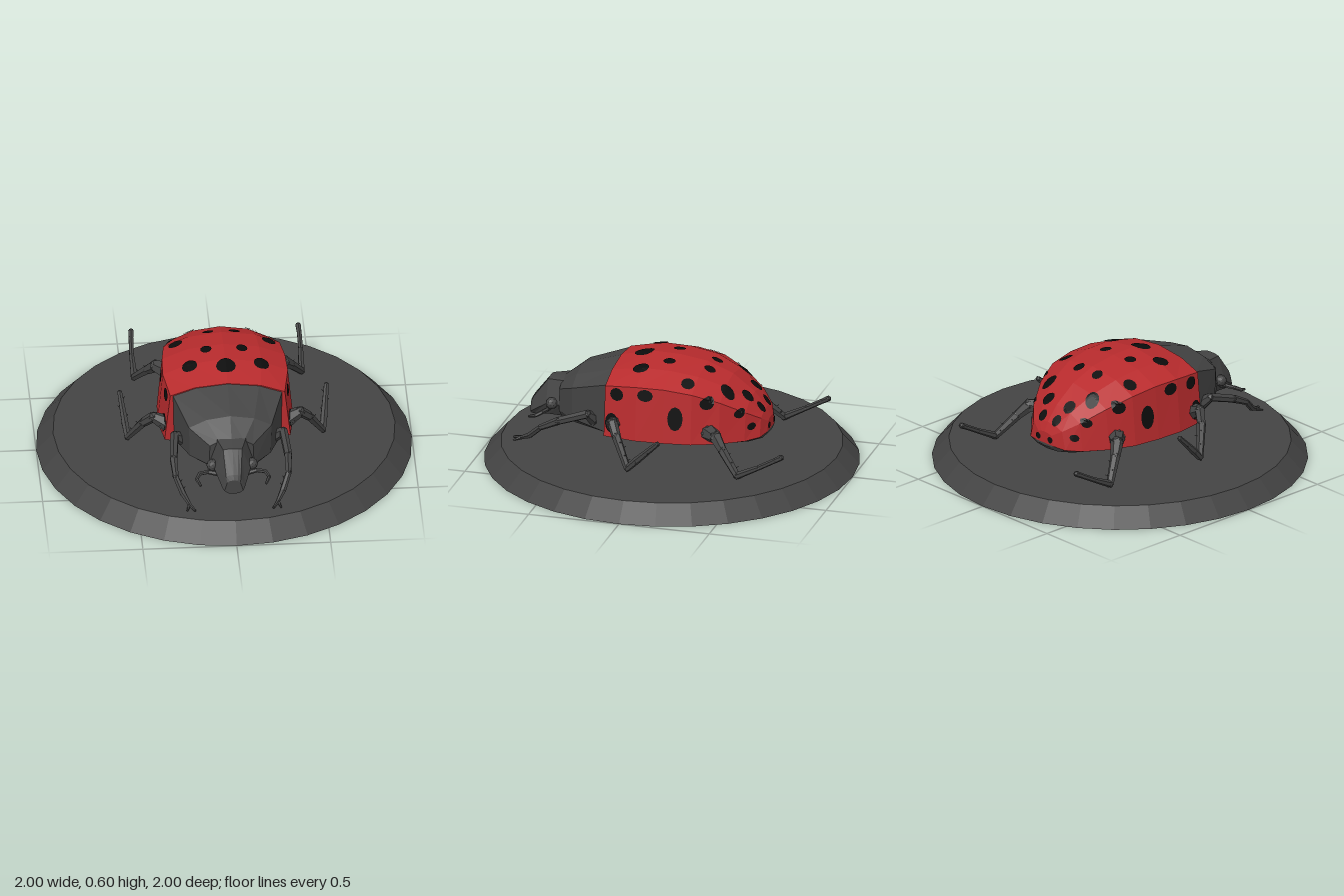
import * as THREE from 'three';

const dark = new THREE.MeshStandardMaterial({ color: 0x444444 });
dark.name = 'charcoal';
const red = new THREE.MeshStandardMaterial({ color: 0xb82b2d });
red.name = 'shell red';
const black = new THREE.MeshStandardMaterial({ color: 0x0c0c0c });
black.name = 'spot black';

const V = (x, y, z) => new THREE.Vector3(x, y, z);

// Faceted mesh from any geometry
function flatMesh(name, geo, mat) {
  const g = geo.index ? geo.toNonIndexed() : geo;
  g.computeVertexNormals();
  const m = new THREE.Mesh(g, mat);
  m.name = name;
  return m;
}

// Mirrored cross-section [z, topY, ridgeX, ridgeY, sideX, sideY, bellyY]
function section([z, top, rx, ry, sx, sy, belly], part) {
  const upper = [[0, top], [rx * 0.58, top - (top - ry) * 0.3], [rx, ry], [sx, sy]];
  const lower = [[sx, sy], [sx * 0.6, belly + (sy - belly) * 0.25], [0, belly]];
  const half = part === 'upper' ? upper : part === 'lower' ? lower : [...upper, ...lower.slice(1)];
  const left = half.map(([x, y]) => V(-x, y, z));
  const right = half.map(([x, y]) => V(x, y, z)).reverse();
  if (part === 'upper') return [...right, ...left.slice(1)];
  if (part === 'lower') return [...left, ...right.slice(1)];
  return [...left, ...right.slice(1, -1)];
}

// Skin over sections listed from front to back
function loft(name, rows, part, mat) {
  const rings = rows.map(r => section(r, part));
  const n = rings[0].length, tris = [];
  for (let i = 0; i < rings.length - 1; i++) {
    for (let k = 0; k < n; k++) {
      const j = (k + 1) % n;
      if (j === 0 && part !== 'all') continue;
      const a = rings[i][k], b = rings[i][j], c = rings[i + 1][j], d = rings[i + 1][k];
      tris.push(a, d, c, a, c, b);
    }
  }
  const first = rings[0], last = rings[rings.length - 1];
  for (let k = 1; k < n - 1; k++) {
    tris.push(first[0], first[k], first[k + 1], last[0], last[k + 1], last[k]);
  }
  return flatMesh(name, new THREE.BufferGeometry().setFromPoints(tris), mat);
}

// Disc draped on the shell, looking along -out from a start point
function spot(shell, start, out, ru, rv) {
  const u = Math.abs(out.y) > 0.5 ? V(0, 0, 1) : V(0, 1, 0);
  const v = out.clone().cross(u);
  const ray = new THREE.Raycaster();
  const drape = (a, r) => {
    for (let s = 1; s >= 0; s -= 0.1) {
      const p = start.clone()
        .addScaledVector(u, Math.cos(a) * r * ru * s)
        .addScaledVector(v, Math.sin(a) * r * rv * s);
      ray.set(p, out.clone().negate());
      const hit = ray.intersectObject(shell)[0];
      if (hit) return hit.point.addScaledVector(hit.face.normal, 0.005);
    }
    return start.clone();
  };
  const N = 12, R = 3, tris = [];
  for (let k = 0; k < N; k++) {
    const a = k / N * Math.PI * 2, b = (k + 1) / N * Math.PI * 2;
    for (let i = 0; i < R; i++) {
      const p = drape(a, i / R), q = drape(a, (i + 1) / R);
      const s = drape(b, (i + 1) / R), t = drape(b, i / R);
      tris.push(p, q, s);
      if (i > 0) tris.push(p, s, t);
    }
  }
  return flatMesh('spot', new THREE.BufferGeometry().setFromPoints(tris), black);
}

// Tapered rod between two points
function rod(name, a, b, ra, rb) {
  const dir = b.clone().sub(a);
  const m = flatMesh(name, new THREE.CylinderGeometry(rb, ra, dir.length(), 6), dark);
  m.position.copy(a).add(b).multiplyScalar(0.5);
  m.quaternion.setFromUnitVectors(V(0, 1, 0), dir.normalize());
  return m;
}

// Jointed limb from rows of [x, y, z, radius]
function limb(name, rows, side) {
  const g = new THREE.Group();
  g.name = name;
  rows.forEach(([x, y, z, r], i) => {
    const p = V(x * side, y, z);
    const joint = flatMesh('joint', new THREE.IcosahedronGeometry(r * 1.05, 0), dark);
    joint.position.copy(p);
    g.add(joint);
    if (i > 0) {
      const [px, py, pz, pr] = rows[i - 1];
      g.add(rod('segment', V(px * side, py, pz), p, pr, r));
    }
  });
  return g;
}

// Short bristles along a shin
function bristles(group, a, b, side) {
  for (let i = 1; i <= 4; i++) {
    const p = a.clone().lerp(b, i / 5);
    const q = p.clone().add(V(i % 2 ? 0.025 : -0.02, 0.012, -0.025));
    p.x *= side;
    q.x *= side;
    group.add(rod('bristle', p, q, 0.006, 0.001));
  }
}

export function createModel() {
  const model = new THREE.Group();

  // Round bevelled plinth
  const base = flatMesh('base', new THREE.CylinderGeometry(0.91, 1, 0.1, 32), dark);
  base.position.y = 0.05;
  model.add(base);

  // Wing case and belly share their sections
  const body = [
    [0.28, 0.56, 0.305, 0.495, 0.335, 0.22, 0.175],
    [0.1, 0.6, 0.333, 0.515, 0.362, 0.22, 0.17],
    [-0.05, 0.597, 0.328, 0.515, 0.355, 0.22, 0.17],
    [-0.2, 0.575, 0.31, 0.495, 0.335, 0.22, 0.17],
    [-0.34, 0.52, 0.255, 0.445, 0.28, 0.22, 0.17],
    [-0.46, 0.43, 0.18, 0.375, 0.2, 0.22, 0.18],
    [-0.525, 0.35, 0.11, 0.325, 0.135, 0.225, 0.195],
    [-0.548, 0.3, 0.05, 0.29, 0.07, 0.235, 0.22],
  ];
  const shell = loft('wingCase', body, 'upper', red);
  shell.updateMatrixWorld();
  model.add(shell, loft('belly', body, 'lower', dark));

  // Thorax shield and head
  model.add(loft('thorax', [
    [0.59, 0.41, 0.115, 0.37, 0.12, 0.25, 0.18],
    [0.49, 0.49, 0.22, 0.425, 0.215, 0.25, 0.175],
    [0.28, 0.557, 0.29, 0.493, 0.285, 0.22, 0.175],
    [0.26, 0.55, 0.28, 0.48, 0.28, 0.22, 0.175],
  ], 'all', dark));
  model.add(loft('head', [
    [0.77, 0.265, 0.035, 0.25, 0.05, 0.2, 0.18],
    [0.755, 0.29, 0.04, 0.28, 0.06, 0.21, 0.175],
    [0.67, 0.4, 0.05, 0.395, 0.095, 0.27, 0.175],
    [0.57, 0.412, 0.08, 0.405, 0.12, 0.28, 0.175],
  ], 'all', dark));

  // Spots: top rows [x, z, rx, rz], flank rows [z, y, rz, ry], tail rows [x, y, r]
  const up = V(0, 1, 0);
  const top = [[0.19, 0.115, 0.04, 0.043], [0.095, -0.015, 0.03, 0.033], [0.07, -0.23, 0.03, 0.03],
    [0.247, -0.16, 0.037, 0.036], [0.165, -0.355, 0.037, 0.037], [0.08, -0.44, 0.034, 0.03]];
  const flank = [[0.21, 0.46, 0.038, 0.035], [0.05, 0.475, 0.043, 0.033], [-0.115, 0.36, 0.041, 0.066],
    [-0.275, 0.445, 0.036, 0.033], [0.235, 0.3, 0.038, 0.055], [-0.43, 0.375, 0.025, 0.024],
    [-0.485, 0.295, 0.018, 0.02]];
  const tail = [[0.052, 0.365, 0.026], [0.045, 0.265, 0.018]];
  model.add(spot(shell, V(0, 2, 0.15), up, 0.052, 0.052));

  for (const side of [1, -1]) {
    for (const [x, z, rx, rz] of top) model.add(spot(shell, V(side * x, 2, z), up, rz, rx));
    for (const [z, y, rz, ry] of flank) model.add(spot(shell, V(side * 2, y, z), V(side, 0, 0), ry, rz));
    for (const [x, y, r] of tail) model.add(spot(shell, V(side * x, y, -2), V(0, 0, -1), r, r));

    // Front leg with forked foot
    const front = limb('frontLeg', [[0.24, 0.27, 0.36, 0.035], [0.29, 0.315, 0.385, 0.024],
      [0.305, 0.265, 0.54, 0.022], [0.3, 0.215, 0.64, 0.016], [0.265, 0.15, 0.71, 0.017],
      [0.235, 0.12, 0.765, 0.011], [0.21, 0.11, 0.81, 0.007]], side);
    front.add(rod('claw', V(side * 0.235, 0.12, 0.765), V(side * 0.25, 0.105, 0.805), 0.01, 0.004));
    bristles(front, V(0.3, 0.215, 0.64), V(0.265, 0.15, 0.71), side);

    // Middle leg with raised foot
    const middle = limb('middleLeg', [[0.32, 0.29, 0.23, 0.045], [0.39, 0.325, 0.215, 0.028],
      [0.44, 0.27, 0.18, 0.025], [0.52, 0.125, 0.095, 0.018], [0.53, 0.18, 0.04, 0.02],
      [0.55, 0.295, -0.08, 0.014]], side);
    bristles(middle, V(0.44, 0.27, 0.18), V(0.52, 0.125, 0.095), side);
    bristles(middle, V(0.52, 0.125, 0.095), V(0.55, 0.295, -0.08), side);

    // Hind leg trailing behind
    const hind = limb('hindLeg', [[0.27, 0.28, -0.28, 0.05], [0.34, 0.285, -0.34, 0.035],
      [0.38, 0.23, -0.39, 0.026], [0.445, 0.12, -0.49, 0.02], [0.45, 0.18, -0.61, 0.014],
      [0.448, 0.23, -0.7, 0.014], [0.445, 0.25, -0.735, 0.016]], side);
    bristles(hind, V(0.36, 0.26, -0.36), V(0.445, 0.12, -0.49), side);

    // Curled feeler and eye
    const feeler = limb('feeler', [[0.08, 0.24, 0.66, 0.014], [0.13, 0.25, 0.655, 0.012],
      [0.175, 0.25, 0.67, 0.011], [0.193, 0.235, 0.7, 0.01], [0.175, 0.22, 0.74, 0.007]], side);
    const eye = flatMesh('eye', new THREE.IcosahedronGeometry(0.032, 1), dark);
    eye.position.set(side * 0.105, 0.28, 0.635);
    model.add(front, middle, hind, feeler, eye);
  }
  return model;
}
